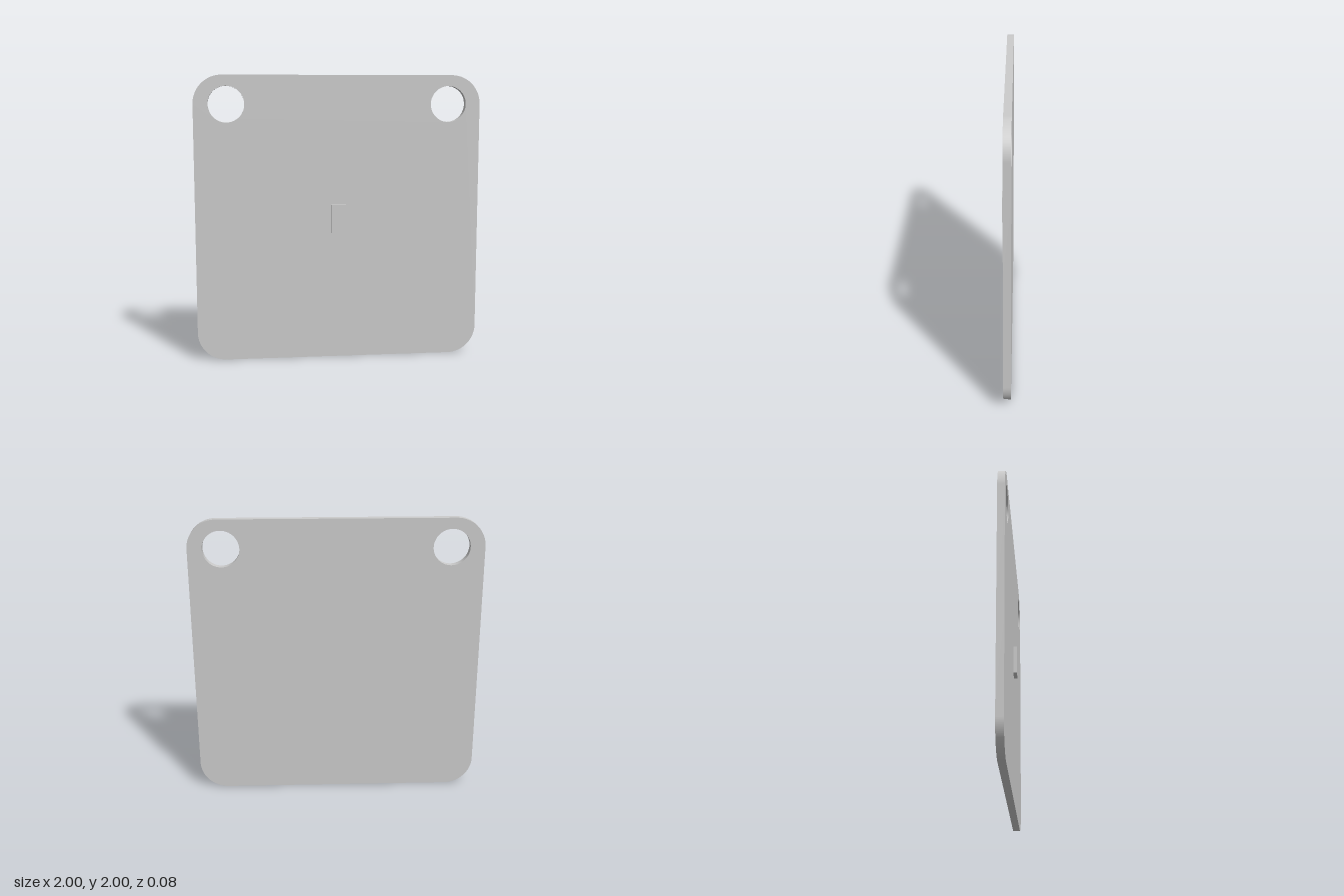
import * as THREE from 'three';
import { toCreasedNormals } from 'three/addons/utils/BufferGeometryUtils.js';

const BACK = -0.0375, PLATE = 0.05, TAB = 0.025;

// Rounded square outline standing on y = 0
function roundedSquare(half, r) {
  const s = new THREE.Shape();
  const c = half - r;
  s.absarc(c, r, r, -Math.PI / 2, 0);
  s.absarc(c, 2 * half - r, r, 0, Math.PI / 2);
  s.absarc(-c, 2 * half - r, r, Math.PI / 2, Math.PI);
  s.absarc(-c, r, r, Math.PI, Math.PI * 1.5);
  s.closePath();
  return s;
}

export function createModel() {
  const model = new THREE.Group();
  const material = new THREE.MeshStandardMaterial({ color: 0xcccccc });

  // Flat plate with a round hole in each upper corner
  const outline = roundedSquare(1, 0.2);
  for (const side of [-1, 1]) {
    const hole = new THREE.Path();
    hole.absarc(side * 0.775, 1.8, 0.125, 0, Math.PI * 2, true);
    outline.holes.push(hole);
  }
  const plateGeometry = new THREE.ExtrudeGeometry(outline, {
    depth: PLATE, bevelEnabled: false, curveSegments: 32,
  });
  const plate = new THREE.Mesh(toCreasedNormals(plateGeometry, 0.5), material);
  plate.name = 'plate';
  plate.position.z = BACK;
  model.add(plate);

  // Small raised block at the middle of the front face
  const tab = new THREE.Mesh(new THREE.BoxGeometry(0.1, 0.2, TAB), material);
  tab.name = 'centreTab';
  tab.position.set(0, 1, BACK + PLATE + TAB / 2);
  model.add(tab);

  return model;
}
